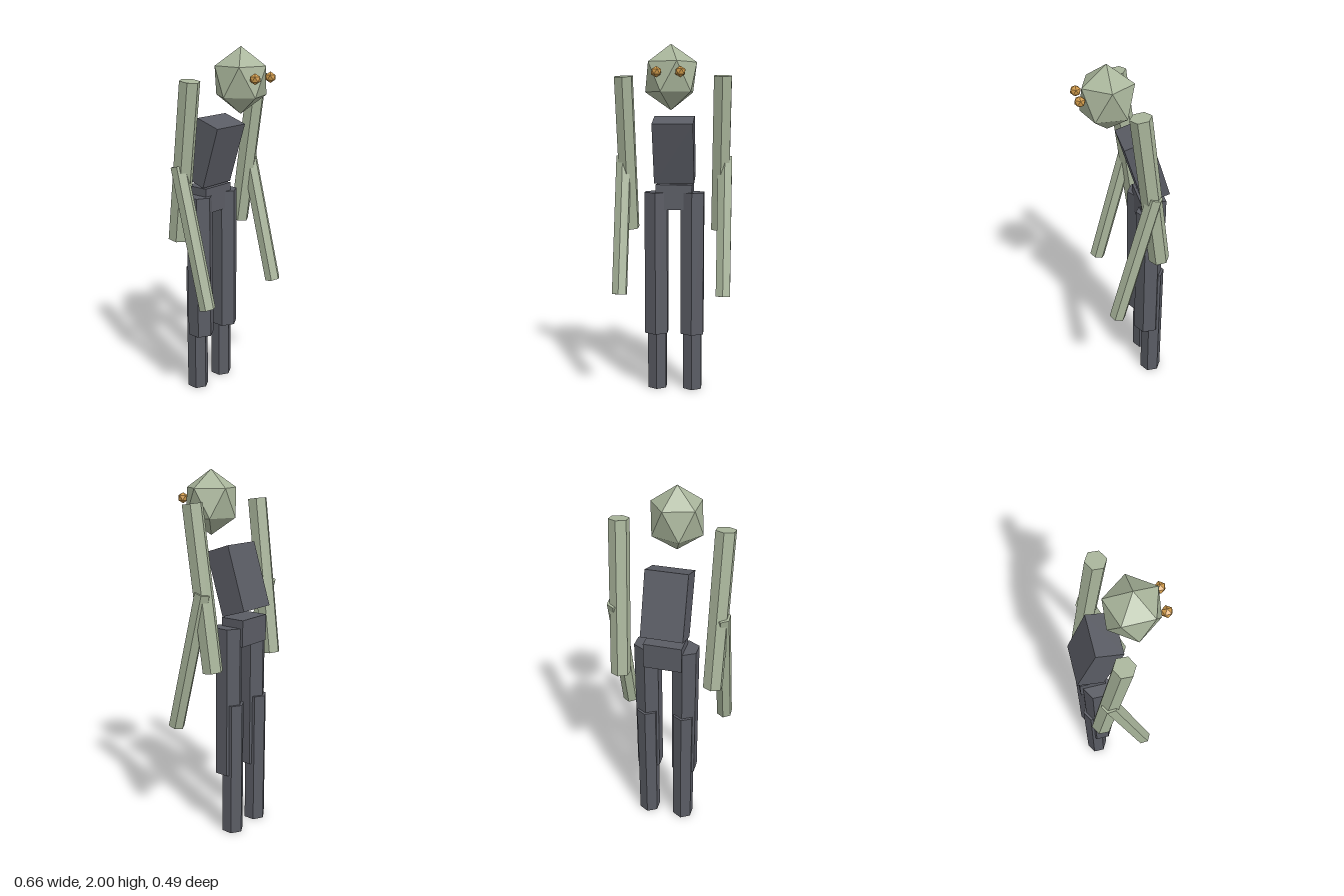
import * as THREE from 'three';
import { ConvexGeometry } from 'three/addons/geometries/ConvexGeometry.js';

const flat = (name, color) => {
  const m = new THREE.MeshStandardMaterial({ color });
  m.name = name;
  m.flatShading = true;
  return m;
};

// Icosahedron standing on a vertex: two poles and two staggered rings of five.
function standingIcosahedron(height, ringRadius) {
  const points = [new THREE.Vector3(0, height, 0), new THREE.Vector3(0, -height, 0)];
  for (let i = 0; i < 5; i++) {
    const a = (i * Math.PI * 2) / 5;
    const p = new THREE.Vector3(Math.cos(a) * ringRadius, height / Math.sqrt(5), Math.sin(a) * ringRadius);
    points.push(p, p.clone().negate());
  }
  return new ConvexGeometry(points);
}

export function createModel() {
  const model = new THREE.Group();
  model.name = 'figure';
  const skin = flat('pale green skin', 0xa9b59b);
  const cloth = flat('dark grey cloth', 0x5a5c64);
  const amber = flat('amber eyes', 0xd09a4a);

  const add = (name, geometry, material, x, y, z) => {
    const mesh = new THREE.Mesh(geometry, material);
    mesh.name = name;
    mesh.position.set(x, y, z);
    model.add(mesh);
    return mesh;
  };

  // Six-sided limb between two end centres, with an edge facing forward.
  const limb = (name, top, bottom, radius, material) => {
    const a = new THREE.Vector3(...top);
    const b = new THREE.Vector3(...bottom);
    const axis = a.clone().sub(b);
    const mid = a.clone().add(b).multiplyScalar(0.5);
    const mesh = add(name, new THREE.CylinderGeometry(radius, radius, axis.length(), 6), material, mid.x, mid.y, mid.z);
    mesh.quaternion.setFromUnitVectors(new THREE.Vector3(0, 1, 0), axis.normalize());
  };

  // Head, hunched torso and pelvis
  add('head', standingIcosahedron(0.175, 0.14), skin, 0, 1.825, 0.07);
  const torso = add('torso', new THREE.BoxGeometry(0.23, 0.356, 0.15), cloth, 0, 1.428, -0.119);
  torso.rotation.x = 0.31;
  add('pelvis', new THREE.BoxGeometry(0.21, 0.145, 0.14), cloth, 0, 1.158, -0.16);

  // Eyes, arms and legs on both sides
  for (const [side, s] of [['left', 1], ['right', -1]]) {
    add(side + 'Eye', standingIcosahedron(0.029, 0.027), amber, s * 0.063, 1.846, 0.216);
    limb(side + 'UpperArm', [s * 0.276, 1.837, -0.036], [s * 0.262, 0.972, -0.154], 0.056, skin);
    limb(side + 'Forearm', [s * 0.29, 1.39, -0.112], [s * 0.291, 0.625, 0.083], 0.0455, skin);
    limb(side + 'Thigh', [s * 0.105, 1.185, -0.138], [s * 0.105, 0.35, -0.138], 0.076, cloth);
    limb(side + 'Shin', [s * 0.105, 0.76, -0.168], [s * 0.105, 0, -0.168], 0.062, cloth);
  }
  return model;
}
